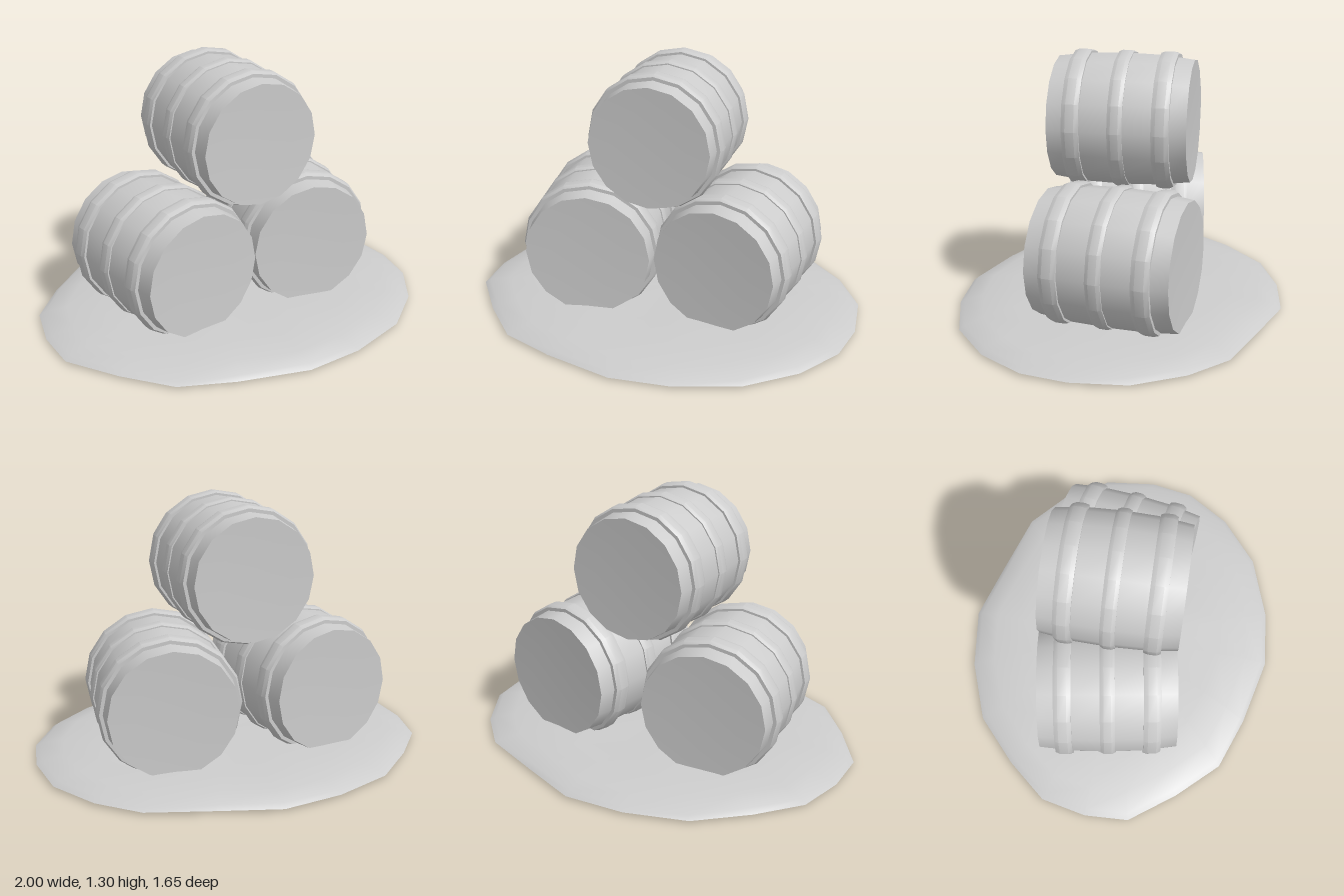
import * as THREE from 'three';
import { toCreasedNormals } from 'three/addons/utils/BufferGeometryUtils.js';

const SIDES = 16;

// Turned shape lying along z, from [radius, z] pairs running back to front
function turned(profile) {
  const geometry = new THREE.LatheGeometry(profile.map(([r, z]) => new THREE.Vector2(r, z)), SIDES);
  geometry.rotateX(Math.PI / 2);
  return toCreasedNormals(geometry, 0.5);
}

// Bulging cask with shallow dished heads and three raised hoops
function makeBarrel(name, material) {
  const barrel = new THREE.Group();
  barrel.name = name;
  const add = (part, geometry) => {
    const mesh = new THREE.Mesh(geometry, material);
    mesh.name = part;
    barrel.add(mesh);
  };
  const half = 0.337;
  add('staves', turned([
    [0, -half + 0.004], [0.18, -half + 0.004], [0.304, -half],
    [0.315, -0.25], [0.324, -0.16], [0.329, 0], [0.324, 0.16], [0.315, 0.25],
    [0.304, half], [0.18, half - 0.004], [0, half - 0.004],
  ]));
  for (const z of [-0.215, 0, 0.215]) {
    const w = z === 0 ? 0.036 : 0.042;
    const lean = -Math.sign(z) * 0.003;
    add('hoop', turned([
      [0.308, z - w], [0.334 - (z < 0 ? 0.003 : 0), z - w], [0.342 + lean * Math.sign(z) * 0.3, z - w * 0.5],
      [0.342 + lean * Math.sign(z) * 0.3, z + w * 0.5], [0.334 - (z > 0 ? 0.003 : 0), z + w], [0.308, z + w],
    ]));
  }
  return barrel;
}

// Low irregular mound with a flat underside
function makeMound() {
  const outline = [
    [0, -0.83], [-0.3, -0.78], [-0.59, -0.66], [-0.8, -0.45], [-0.96, -0.24], [-1, 0], [-0.98, 0.23],
    [-0.8, 0.46], [-0.6, 0.66], [-0.33, 0.75], [0.02, 0.82], [0.31, 0.78], [0.62, 0.66], [0.84, 0.46],
    [0.97, 0.23], [1, 0], [0.96, -0.27], [0.81, -0.5], [0.62, -0.66], [0.3, -0.75],
  ];
  const rings = [[0, 0.013], [1, 0.013], [0.97, 0.029], [0.86, 0.05], [0.68, 0.066], [0.4, 0.07], [0, 0.072]];
  const n = outline.length;
  const positions = [];
  const index = [];
  rings.forEach(([s, y], j) => {
    outline.forEach(([x, z], i) => {
      const ripple = j > 1 && s > 0 ? 0.005 * Math.sin(i * 1.9 + j) : 0;
      positions.push(x * s, y + ripple, z * s);
    });
    if (j === 0) return;
    for (let i = 0; i < n; i++) {
      const a = (j - 1) * n + i, b = (j - 1) * n + (i + 1) % n;
      if (rings[j - 1][0] > 0) index.push(a, b, b + n);
      if (s > 0) index.push(a, b + n, a + n);
    }
  });
  const geometry = new THREE.BufferGeometry();
  geometry.setAttribute('position', new THREE.Float32BufferAttribute(positions, 3));
  geometry.setIndex(index);
  return toCreasedNormals(geometry, 0.7);
}

export function createModel() {
  const model = new THREE.Group();
  model.name = 'barrelStack';
  const grey = new THREE.MeshStandardMaterial({ color: 0xcccccc });
  grey.name = 'light grey';

  const mound = new THREE.Mesh(makeMound(), grey);
  mound.name = 'groundMound';
  model.add(mound);

  // name, position, turn about y, size
  const stack = [
    ['topBarrel', [0, 0.961, -0.023], 0.056, 1],
    ['leftBarrel', [0.368, 0.358, -0.064], -0.086, 1.04],
    ['rightBarrel', [-0.371, 0.358, 0.003], 0.2, 1.04],
  ];
  for (const [name, position, turn, size] of stack) {
    const barrel = makeBarrel(name, grey);
    barrel.position.set(...position);
    barrel.rotation.y = turn;
    barrel.scale.setScalar(size);
    model.add(barrel);
  }
  return model;
}
